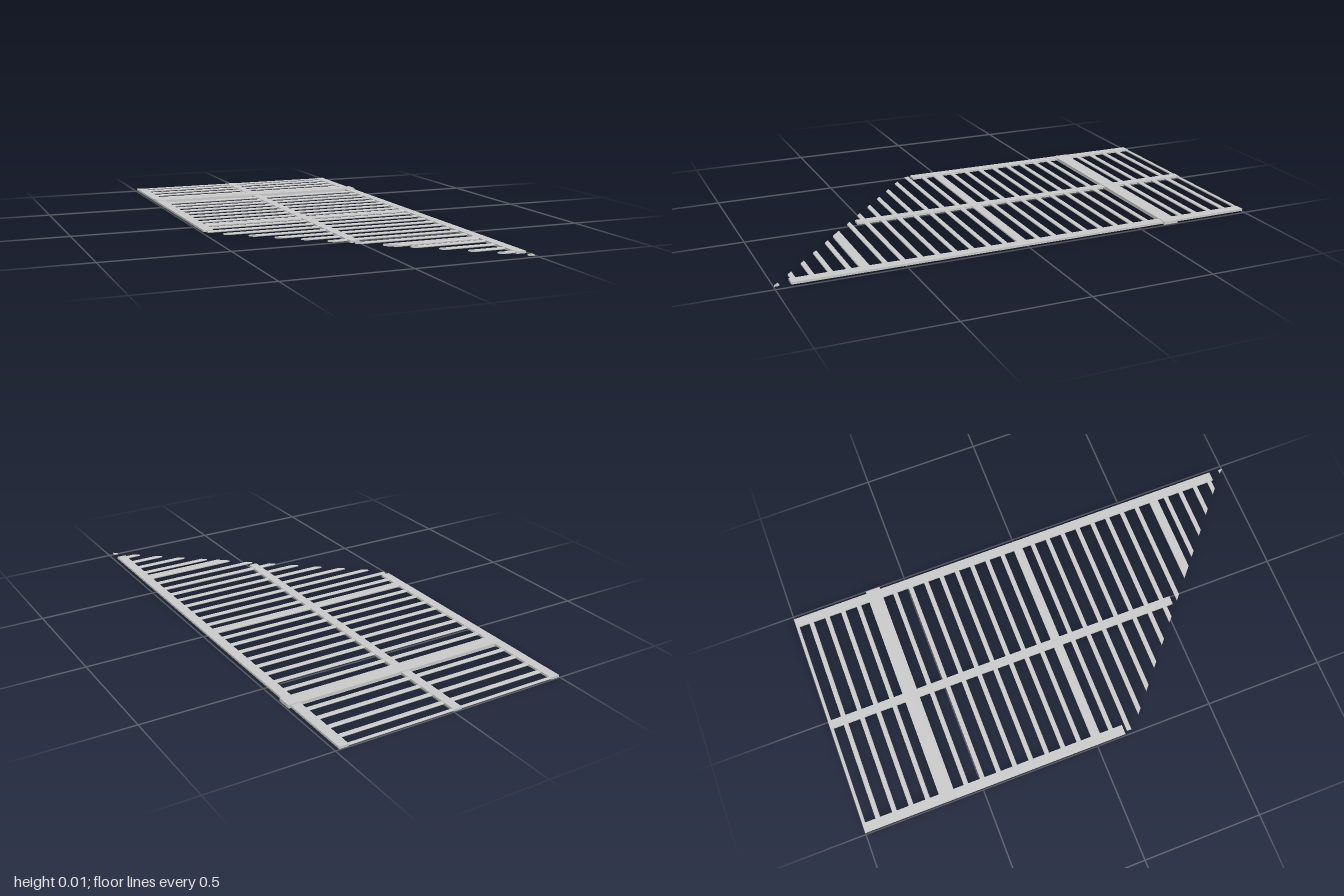
import * as THREE from 'three';

const MID = 0.007; // height of the grille's middle plane
const LEFT = -0.485, RIGHT = 0.482;

// x of the slanted front edge at a given z
const cutX = z => -0.44 + 1.165 * (z - 0.205);

export function createModel() {
  const group = new THREE.Group();
  const material = new THREE.MeshStandardMaterial({ color: 0xcccccc, flatShading: true });

  const add = (name, geometry) => {
    const mesh = new THREE.Mesh(geometry, material);
    mesh.name = name;
    group.add(mesh);
  };

  const bar = (name, x0, x1, z0, z1, height) => {
    const geometry = new THREE.BoxGeometry(x1 - x0, height, z1 - z0);
    geometry.translate((x0 + x1) / 2, MID, (z0 + z1) / 2);
    add(name, geometry);
  };

  // Chamfered slat running along x, its outer end trimmed to the slanted edge
  const slat = (name, z0, z1, height = 0.007) => {
    const h = height / 2, c = 0.0018, w = (z1 - z0) / 2;
    const section = new THREE.Shape([
      [-w, -h + c], [-w + c, -h], [w - c, -h], [w, -h + c],
      [w, h - c], [w - c, h], [-w + c, h], [-w, h - c],
    ].map(([a, b]) => new THREE.Vector2(a, b)));
    const geometry = new THREE.ExtrudeGeometry(section, { depth: 1, bevelEnabled: false });
    geometry.rotateY(-Math.PI / 2); // section x becomes z, length runs towards -x
    geometry.translate(0, MID, (z0 + z1) / 2);
    const p = geometry.attributes.position;
    for (let i = 0; i < p.count; i++) {
      const outer = p.getX(i) < -0.5;
      const trimmed = Math.min(RIGHT, Math.max(LEFT, cutX(p.getZ(i))));
      p.setX(i, outer ? trimmed : RIGHT);
    }
    geometry.computeVertexNormals();
    add(name, geometry);
  };

  // Long rails, each ending short of the slanted edge
  bar('rightRail', -0.495, -0.455, -1, 0.125, 0.009);
  bar('middleRail', -0.036, 0.001, -1, 0.535, 0.009);
  bar('leftRail', 0.445, 0.485, -1, 0.938, 0.009);

  // Thick cross beam
  bar('crossBeam', -0.492, 0.494, -0.675, -0.612, 0.014);

  // Slats behind the beam
  slat('backSlat', -1, -0.987);
  for (let i = 0; i < 4; i++) {
    const z = -0.934 + i * 0.0705;
    slat('rearSlat', z - 0.01, z + 0.01);
  }

  // Slats in front of the beam, two of them broad
  for (let i = 0; i < 23; i++) {
    const z = -0.558 + i * 0.0704;
    if (i === 8) slat('broadSlat', -0.012, 0.028, 0.009);
    else if (i === 17) slat('broadSlat', 0.63, 0.67, 0.009);
    else slat('slat', z - 0.01, z + 0.01);
  }
  return group;
}
